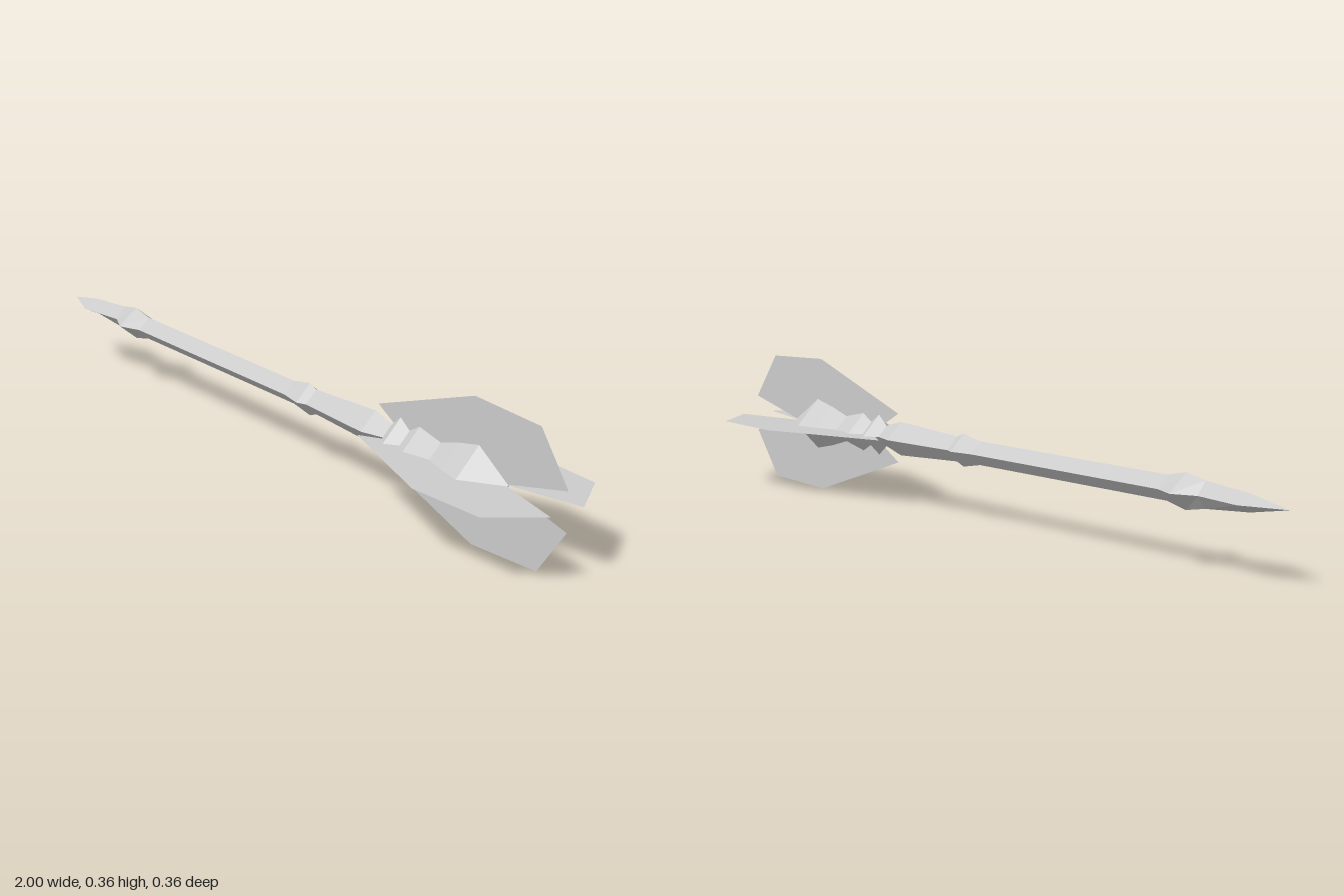
import * as THREE from 'three';

const AXIS_Y = 0.178;

// Four-sided loft along x; each section is [x, half height, half depth]
function loft(sections) {
  const pos = [];
  const point = ([x, ry, rz = ry], j) => {
    const a = (j * Math.PI) / 2;
    return [x, ry * Math.cos(a), rz * Math.sin(a)];
  };
  for (let i = 0; i < sections.length - 1; i++) {
    const s = sections[i], t = sections[i + 1];
    for (let j = 0; j < 4; j++) {
      const a = point(s, j), b = point(t, j), c = point(t, j + 1), d = point(s, j + 1);
      if (s[1] > 0) pos.push(...a, ...d, ...b);
      if (t[1] > 0) pos.push(...d, ...c, ...b);
    }
  }
  const geo = new THREE.BufferGeometry();
  geo.setAttribute('position', new THREE.Float32BufferAttribute(pos, 3));
  geo.computeVertexNormals();
  return geo;
}

export function createModel() {
  const group = new THREE.Group();
  group.name = 'mace';
  const steel = new THREE.MeshStandardMaterial({ color: 0xcccccc, flatShading: true, side: THREE.DoubleSide });
  steel.name = 'pale steel';

  const add = (name, geo) => {
    const mesh = new THREE.Mesh(geo, steel);
    mesh.name = name;
    mesh.position.y = AXIS_Y;
    group.add(mesh);
    return mesh;
  };

  // Pointed pommel, flattened differently in height and depth
  add('pommel', loft([
    [-1, 0], [-0.885, 0.021, 0.043], [-0.75, 0.032, 0.025],
    [-0.69, 0.043, 0.053], [-0.63, 0.03],
  ]));

  // Shaft with a small collar and a flared end
  add('shaft', loft([
    [-0.63, 0.03], [0.025, 0.03], [0.09, 0.042], [0.115, 0.032],
    [0.345, 0.044], [0.405, 0.027],
  ]));

  // Ring below the head
  add('neckRing', loft([[0.405, 0.027], [0.437, 0.053], [0.47, 0.03]]));

  // Swelling core that ends in a point
  add('headCore', loft([
    [0.47, 0.03], [0.505, 0.05], [0.58, 0.034], [0.645, 0.053],
    [0.71, 0.067], [0.812, 0],
  ]));

  // Four thin flanges around the core
  const outline = [
    [0.355, 0.064], [0.46, 0.005], [0.81, 0.004],
    [0.997, 0.048], [0.907, 0.169], [0.692, 0.178],
  ];
  const flange = new THREE.ShapeGeometry(new THREE.Shape(outline.map(([x, y]) => new THREE.Vector2(x, y))));
  for (let i = 0; i < 4; i++) {
    add('flange' + (i + 1), flange).rotation.x = (i * Math.PI) / 2;
  }
  return group;
}
